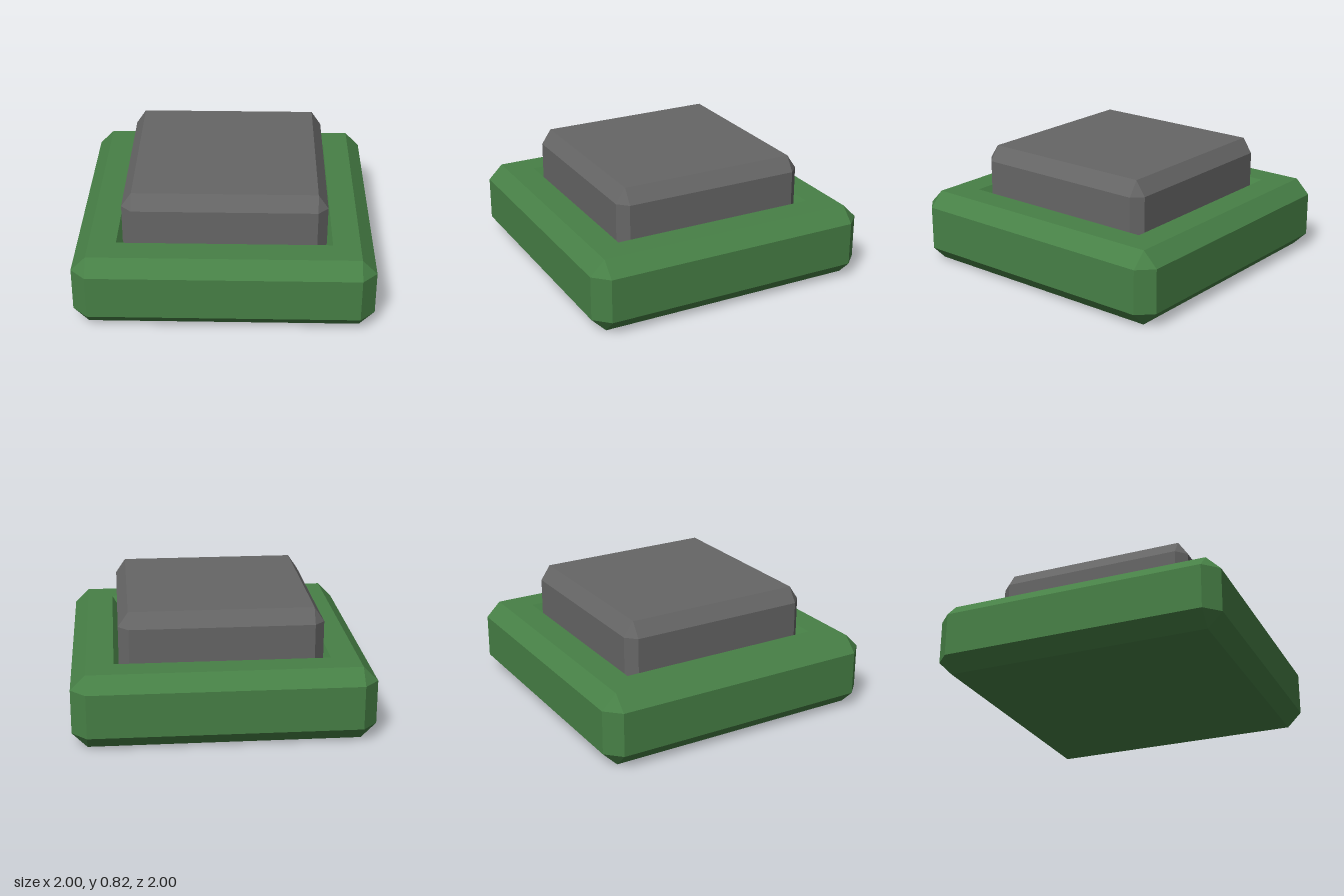
import * as THREE from 'three';

// Eight ring points, counter-clockwise from above: a square of half-width h with corners cut by c
function ring([y, h, c]) {
  const points = [];
  for (let k = 0; k < 4; k++) {
    for (let [x, z] of [[h, c - h], [h - c, -h]]) {
      for (let i = 0; i < k; i++) [x, z] = [z, -x];
      points.push(new THREE.Vector3(x, y, z));
    }
  }
  return points;
}

// Flat-faced solid through a stack of [y, halfWidth, cornerCut] rings, closed at both ends
function ringSolid(name, sections, material) {
  const rings = sections.map(ring);
  const positions = [];
  const triangle = (a, b, c) => {
    if (new THREE.Triangle(a, b, c).getArea() < 1e-7) return;
    for (const p of [a, b, c]) positions.push(p.x, p.y, p.z);
  };
  for (let r = 0; r < rings.length - 1; r++) {
    const low = rings[r], high = rings[r + 1];
    for (let i = 0; i < 8; i++) {
      const j = (i + 1) % 8;
      triangle(low[i], low[j], high[j]);
      triangle(low[i], high[j], high[i]);
    }
  }
  const first = rings[0], last = rings[rings.length - 1];
  for (let i = 1; i < 7; i++) {
    triangle(first[0], first[i + 1], first[i]);
    triangle(last[0], last[i], last[i + 1]);
  }
  const geometry = new THREE.BufferGeometry();
  geometry.setAttribute('position', new THREE.Float32BufferAttribute(positions, 3));
  geometry.computeVertexNormals();
  const mesh = new THREE.Mesh(geometry, material);
  mesh.name = name;
  return mesh;
}

export function createModel() {
  const green = new THREE.MeshStandardMaterial({ color: 0x478046 });
  green.name = 'green';
  const grey = new THREE.MeshStandardMaterial({ color: 0x666666 });
  grey.name = 'grey';

  const model = new THREE.Group();
  model.name = 'pushButton';

  // Bevelled base with a sloping recess in its top
  model.add(ringSolid('base', [
    [0, 0.9, 0], [0.1, 1, 0.1], [0.4, 1, 0.1], [0.5, 0.9, 0],
    [0.5, 0.717, 0], [0.36, 0.62, 0],
  ], green));

  // Bevelled button standing in the recess
  model.add(ringSolid('button', [
    [0.3, 0.615, 0], [0.4, 0.683, 0.068], [0.72, 0.683, 0.068], [0.82, 0.615, 0],
  ], grey));

  return model;
}
